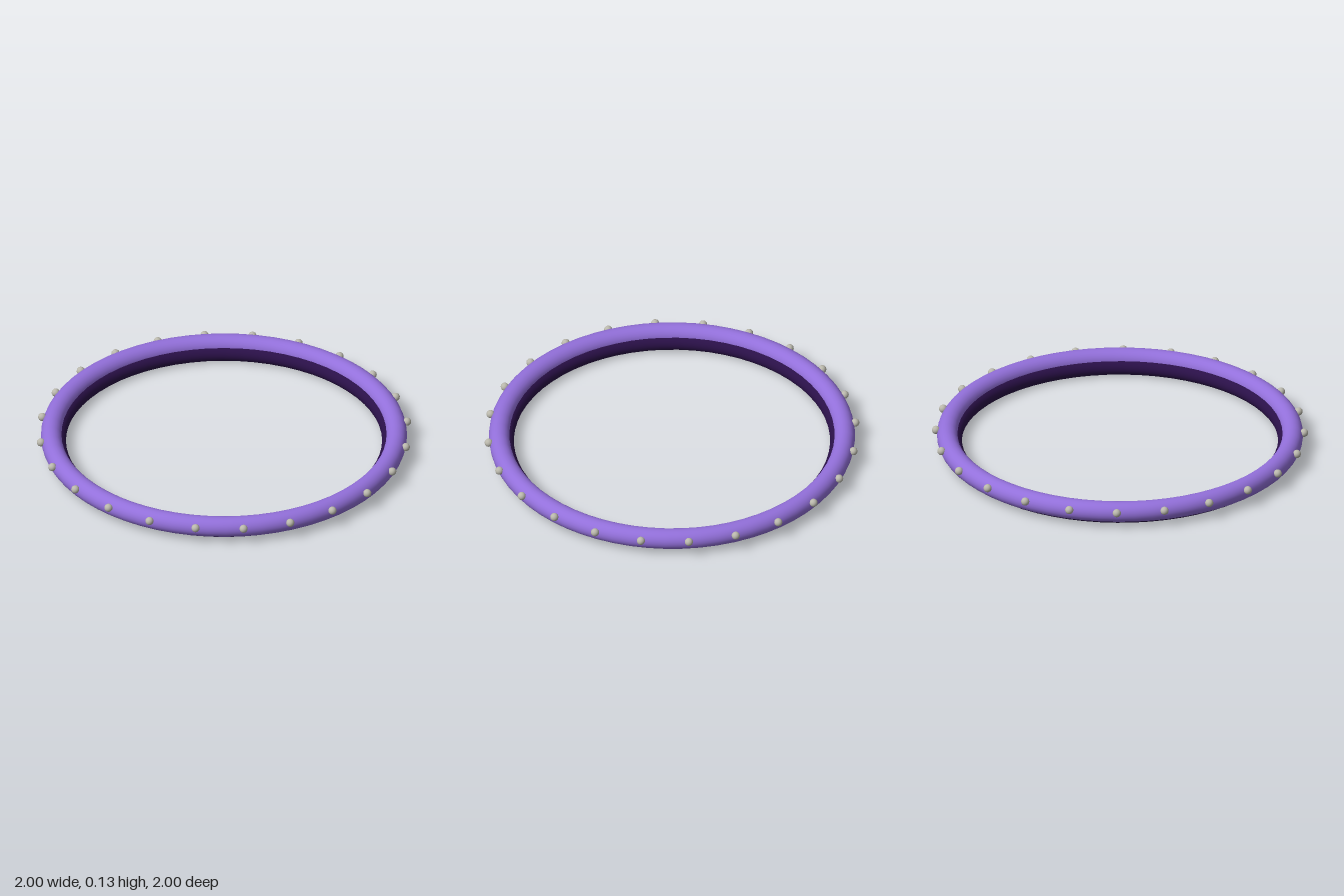
import * as THREE from 'three';

export function createModel() {
  const model = new THREE.Group();
  const purple = new THREE.MeshStandardMaterial({ name: 'purple', color: 0x9370db });
  const darkViolet = new THREE.MeshStandardMaterial({ name: 'darkViolet', color: 0x2a1048 });
  const silver = new THREE.MeshStandardMaterial({ name: 'silver', color: 0xbab8ac });

  // Horizontal ring at a given height
  function addRing(name, radius, tube, y, material) {
    const geometry = new THREE.TorusGeometry(radius, tube, 24, 64);
    geometry.rotateX(-Math.PI / 2);
    const ring = new THREE.Mesh(geometry, material);
    ring.name = name;
    ring.position.y = y;
    model.add(ring);
  }

  addRing('outerRing', 0.918, 0.055, 0.078, purple);
  addRing('innerLining', 0.885, 0.045, 0.045, darkViolet);

  // Small round studs spaced evenly round the outside
  const studs = new THREE.Group();
  studs.name = 'studs';
  const studGeometry = new THREE.SphereGeometry(0.022, 16, 12);
  const count = 24;
  for (let i = 0; i < count; i++) {
    const angle = (i / count) * Math.PI * 2;
    const stud = new THREE.Mesh(studGeometry, silver);
    stud.name = 'stud';
    stud.position.set(Math.cos(angle) * 0.978, 0.098, Math.sin(angle) * 0.978);
    studs.add(stud);
  }
  model.add(studs);

  return model;
}
